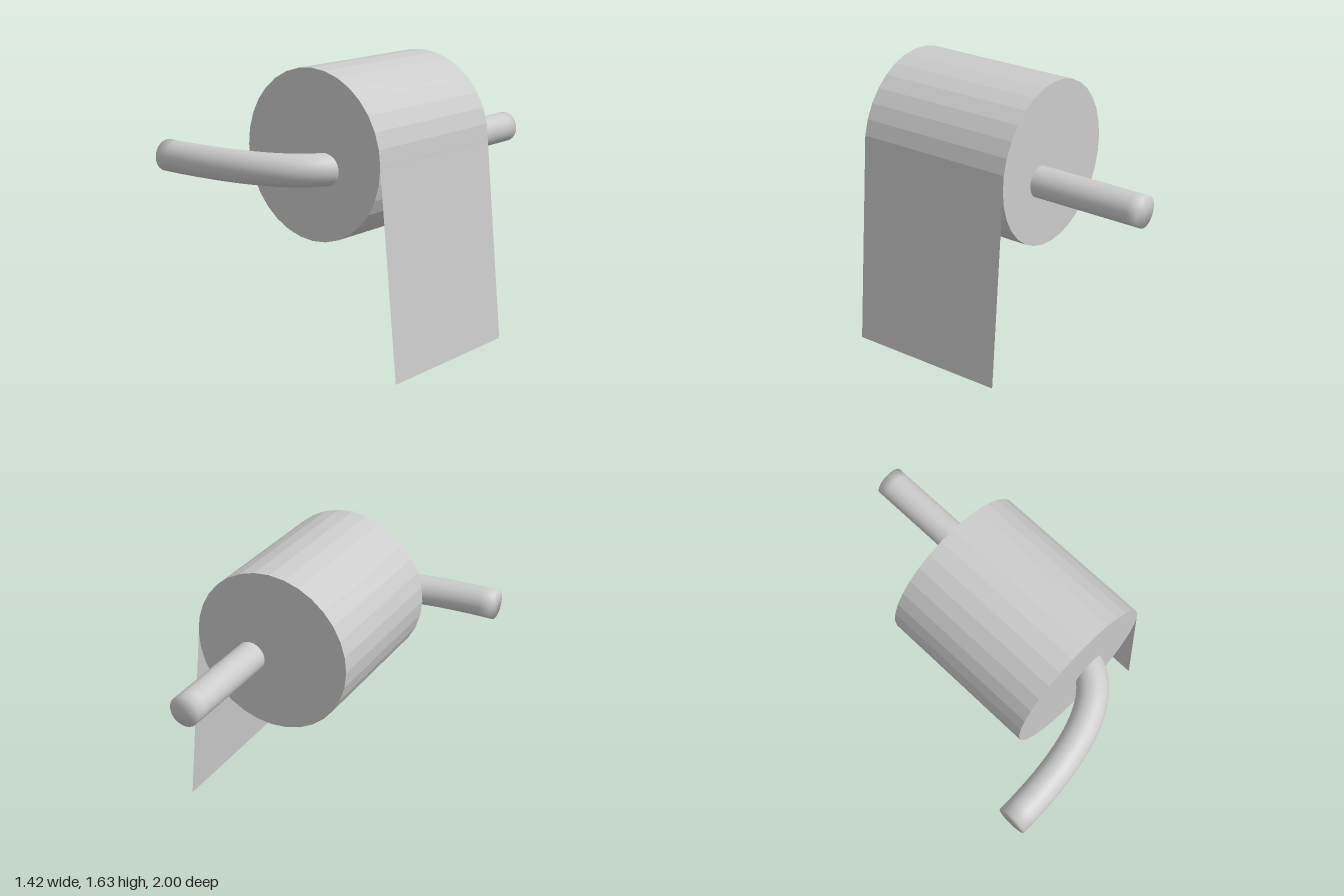
import * as THREE from 'three';

const grey = (opts = {}) => new THREE.MeshStandardMaterial({ color: 0xcccccc, ...opts });

// Closed round bar swept along a path lying in a level plane; caps share normals with the sides.
function sweepBar(path, y, radius, sides = 32) {
  const pos = [], index = [];
  path.forEach(({ p, t }) => {
    for (let j = 0; j < sides; j++) {
      const a = (j / sides) * Math.PI * 2;
      const c = Math.cos(a) * radius;
      pos.push(p.x + t.y * c, y + Math.sin(a) * radius, p.y - t.x * c);
    }
  });
  const last = (path.length - 1) * sides;
  const startCentre = path.length * sides;
  [path[0], path[path.length - 1]].forEach(({ p }) => pos.push(p.x, y, p.y));
  for (let j = 0; j < sides; j++) {
    const k = (j + 1) % sides;
    for (let r = 0; r < last; r += sides) {
      index.push(r + j, r + k, r + sides + j, r + k, r + sides + k, r + sides + j);
    }
    index.push(startCentre, k, j, startCentre + 1, last + j, last + k);
  }
  const geo = new THREE.BufferGeometry();
  geo.setAttribute('position', new THREE.Float32BufferAttribute(pos, 3));
  geo.setIndex(index);
  geo.computeVertexNormals();
  return geo;
}

export function createModel() {
  const group = new THREE.Group();
  const add = (name, geometry, material) => {
    const mesh = new THREE.Mesh(geometry, material);
    mesh.name = name;
    group.add(mesh);
    return mesh;
  };

  const zBack = -0.335, zFront = 0.62;
  const depth = zFront - zBack, zMid = (zFront + zBack) / 2;
  const cx = 0.12, cy = 1.16, radius = 0.475;

  // Faceted paper roll lying along z
  const roll = add('paperRoll',
    new THREE.CylinderGeometry(radius, radius, depth, 32).rotateX(Math.PI / 2),
    grey({ flatShading: true }));
  roll.position.set(cx, cy, zMid);

  // Loose sheet hanging from the roll's side
  const a = Math.PI / 16;
  const top = new THREE.Vector2(cx + radius * Math.cos(a), cy + radius * Math.sin(a));
  const bottom = new THREE.Vector2(0.705, 0);
  const drop = bottom.clone().sub(top);
  const sheet = add('hangingSheet',
    new THREE.PlaneGeometry(depth, drop.length()).rotateY(Math.PI / 2),
    grey({ side: THREE.DoubleSide }));
  sheet.position.set((top.x + bottom.x) / 2, (top.y + bottom.y) / 2, zMid);
  sheet.rotation.z = Math.atan2(drop.x, -drop.y);

  // Holder bar: straight through the roll, then bending towards -x (path is x, z)
  const v = (x, z) => new THREE.Vector2(x, z);
  const bend = new THREE.QuadraticBezierCurve(v(0.25, 0.46), v(0.25, 0.907), v(-0.71, 0.907));
  const path = [-1, -0.94, -0.3].map((z) => ({ p: v(0.25, z), t: v(0, 1) }));
  for (let i = 0; i <= 24; i++) {
    path.push({ p: bend.getPoint(i / 24), t: bend.getTangent(i / 24) });
  }
  add('holderBar', sweepBar(path, 1.097, 0.09), grey());

  return group;
}
